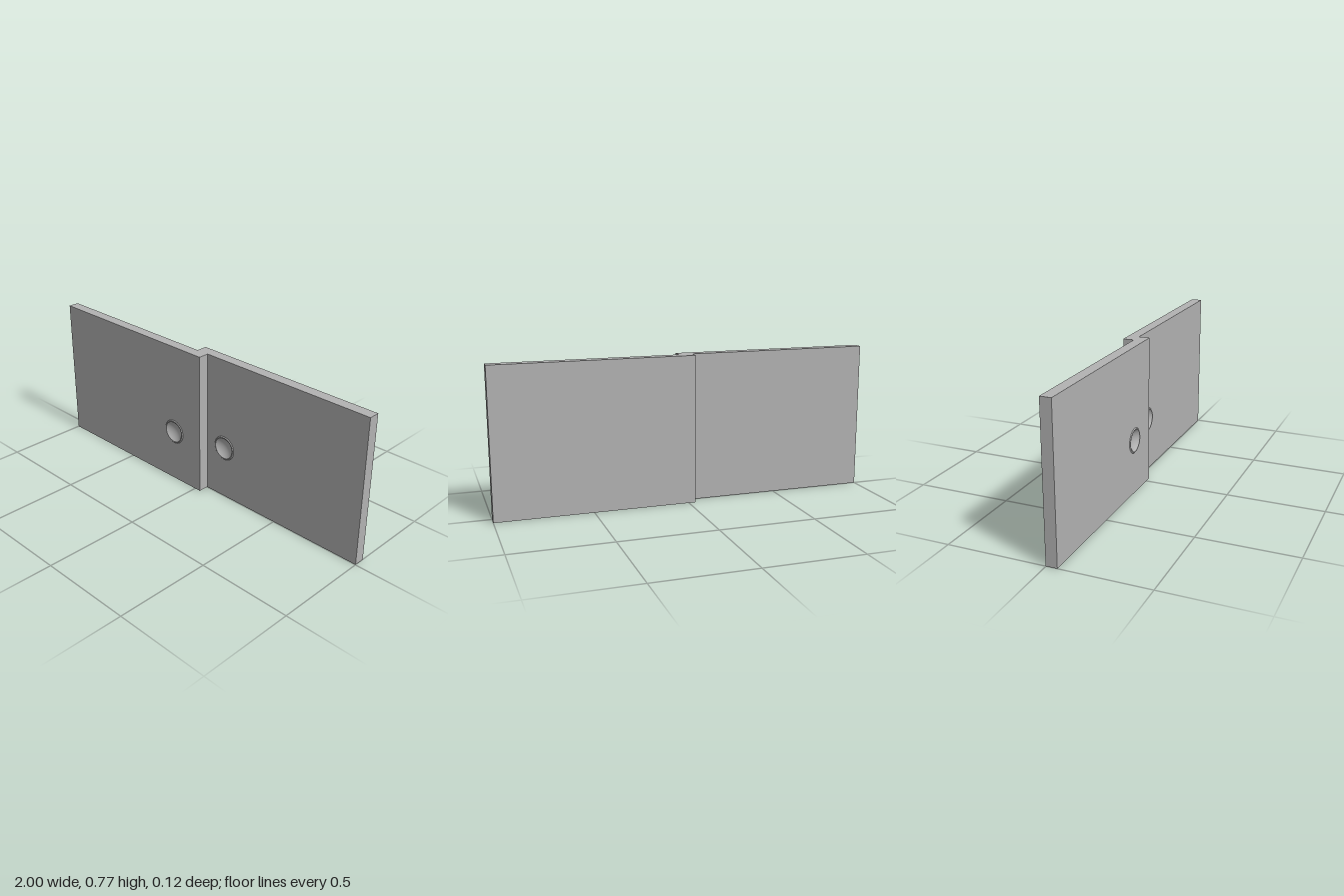
import * as THREE from 'three';

const HEIGHT = 0.77, THICK = 0.0565, SEAM_Z = -0.0015;
const GRIP_X = 0.155, GRIP_Y = 0.285, GRIP_R = 0.058;

// Sliding panel with a round hole for its finger pull
function panelGeometry(x0, x1, gripX) {
  const shape = new THREE.Shape();
  shape.moveTo(x0, 0);
  shape.lineTo(x1, 0);
  shape.lineTo(x1, HEIGHT);
  shape.lineTo(x0, HEIGHT);
  shape.closePath();
  const hole = new THREE.Path();
  hole.absarc(gripX, GRIP_Y, GRIP_R, 0, Math.PI * 2, true);
  shape.holes.push(hole);
  return new THREE.ExtrudeGeometry(shape, { depth: THICK, bevelEnabled: false, curveSegments: 24 });
}

// Surface of revolution around z from [radius, z] points
function turned(points) {
  const geo = new THREE.LatheGeometry(points.map(([r, z]) => new THREE.Vector2(r, z)), 48);
  return geo.rotateX(Math.PI / 2);
}

export function createModel() {
  const grey = new THREE.MeshStandardMaterial({ color: 0xb2b2b2 });
  grey.name = 'panelGrey';
  const model = new THREE.Group();
  model.name = 'slidingDoors';

  const add = (parent, name, geometry) => {
    const mesh = new THREE.Mesh(geometry, grey);
    mesh.name = name;
    parent.add(mesh);
  };

  // Shallow spherical dish, listed from the rim inwards
  const dishR = 0.057, dishDepth = 0.025, lip = THICK + 0.004;
  const sphereR = (dishR * dishR + dishDepth * dishDepth) / (2 * dishDepth);
  const maxAngle = Math.asin(dishR / sphereR);
  const dish = [];
  for (let i = 0; i <= 10; i++) {
    const a = maxAngle * (1 - i / 10);
    dish.push([sphereR * Math.sin(a), lip - dishDepth + sphereR * (1 - Math.cos(a))]);
  }

  const doors = [
    { name: 'rightDoor', x0: -1, x1: 0.035, gripX: -GRIP_X, z: SEAM_Z },
    { name: 'leftDoor', x0: -0.035, x1: 1, gripX: GRIP_X, z: SEAM_Z - THICK },
  ];
  for (const { name, x0, x1, gripX, z } of doors) {
    const door = new THREE.Group();
    door.name = name;
    door.position.z = z;
    add(door, 'panel', panelGeometry(x0, x1, gripX));

    // Finger pull: raised rim, concave dish and a flush back that closes the hole
    const pull = new THREE.Group();
    pull.name = 'fingerPull';
    pull.position.set(gripX, GRIP_Y, 0);
    add(pull, 'rim', turned([[0.066, THICK], [0.061, lip]]));
    add(pull, 'rimFace', turned([[0.061, lip], [dishR, lip]]));
    add(pull, 'dish', turned(dish));
    add(pull, 'backCover', new THREE.CircleGeometry(GRIP_R + 0.0005, 48).rotateY(Math.PI));
    door.add(pull);
    model.add(door);
  }
  return model;
}
